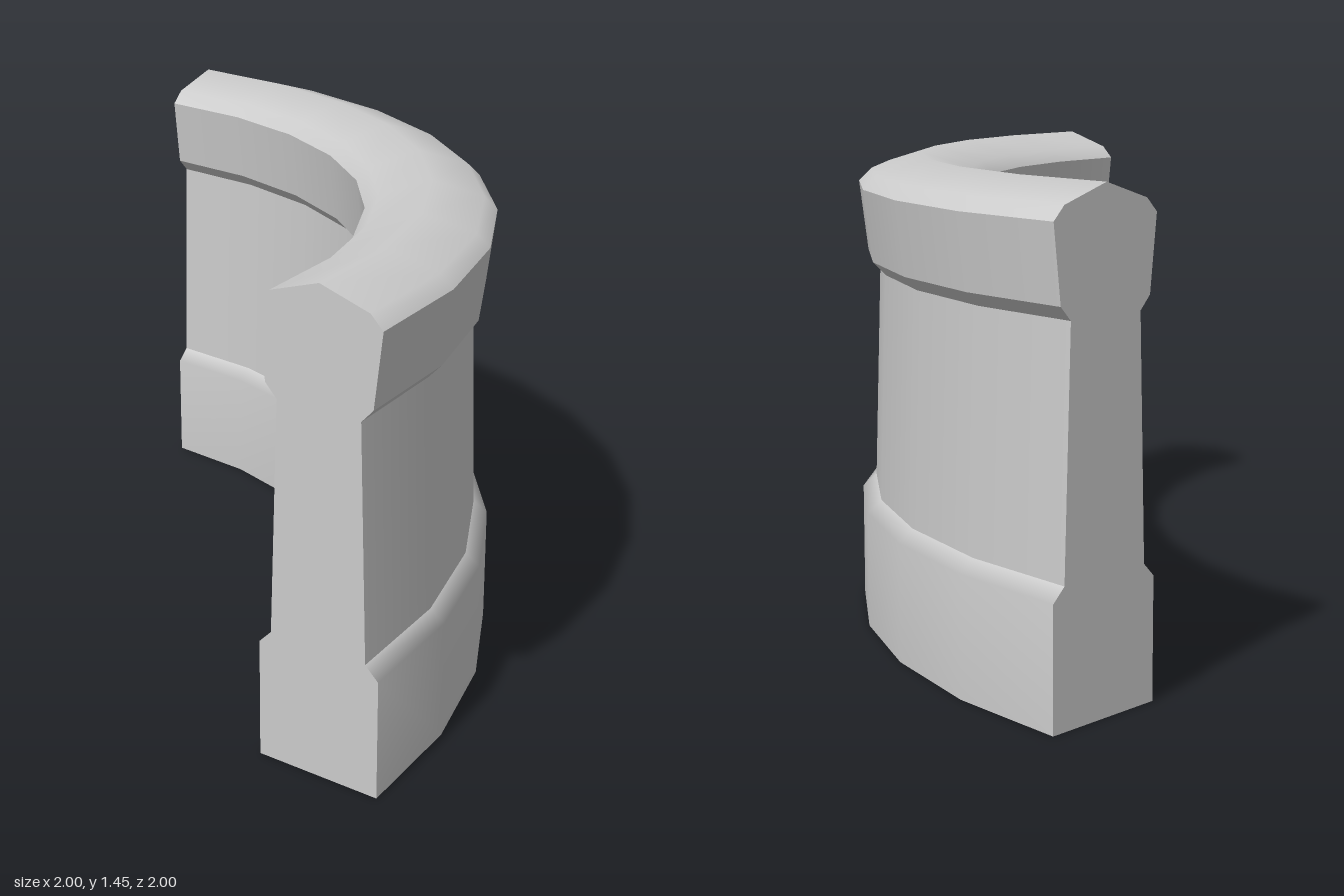
import * as THREE from 'three';

// Quarter-ring wall: a moulded cross-section swept through 90 degrees.
const STEPS = 8;

// Cross-section as [radius, height] runs, going up the outer face, over the
// top and down the inner face. Each run is smooth; edges between runs are sharp.
const RUNS = {
  outerBase: [[2, 0], [2, 0.36], [1.957, 0.4]],
  outerWall: [[1.957, 0.4], [1.935, 1.1]],
  outerLedge: [[1.935, 1.1], [1.973, 1.14]],
  outerRail: [[1.973, 1.14], [2, 1.36]],
  railTop: [[2, 1.36], [1.96, 1.4], [1.8, 1.45], [1.64, 1.4], [1.6, 1.36]],
  innerRail: [[1.6, 1.36], [1.625, 1.14]],
  innerLedge: [[1.625, 1.14], [1.663, 1.1]],
  innerWall: [[1.663, 1.1], [1.64, 0.4]],
  innerBase: [[1.64, 0.4], [1.6, 0.36], [1.6, 0]],
  underside: [[1.6, 0], [2, 0]],
};

export function createModel() {
  const model = new THREE.Group();
  model.name = 'curvedWall';
  const material = new THREE.MeshStandardMaterial({ color: 0xcccccc });

  const add = (name, geometry) => {
    geometry.translate(-1, 0, 1); // centre of the arc sits at a corner
    const mesh = new THREE.Mesh(geometry, material);
    mesh.name = name;
    model.add(mesh);
  };

  // Swept faces
  for (const [name, run] of Object.entries(RUNS)) {
    const points = run.map(([r, y]) => new THREE.Vector2(r, y));
    add(name, new THREE.LatheGeometry(points, STEPS, Math.PI / 2, Math.PI / 2));
  }

  // Flat ends, cut to the full cross-section
  const outline = Object.values(RUNS).flatMap((run) => run.slice(0, -1));
  const endFace = (side) =>
    new THREE.ShapeGeometry(new THREE.Shape(outline.map(([r, y]) => new THREE.Vector2(side * r, y))));
  add('frontEnd', endFace(1));
  add('rightEnd', endFace(-1).rotateY(-Math.PI / 2));

  return model;
}
